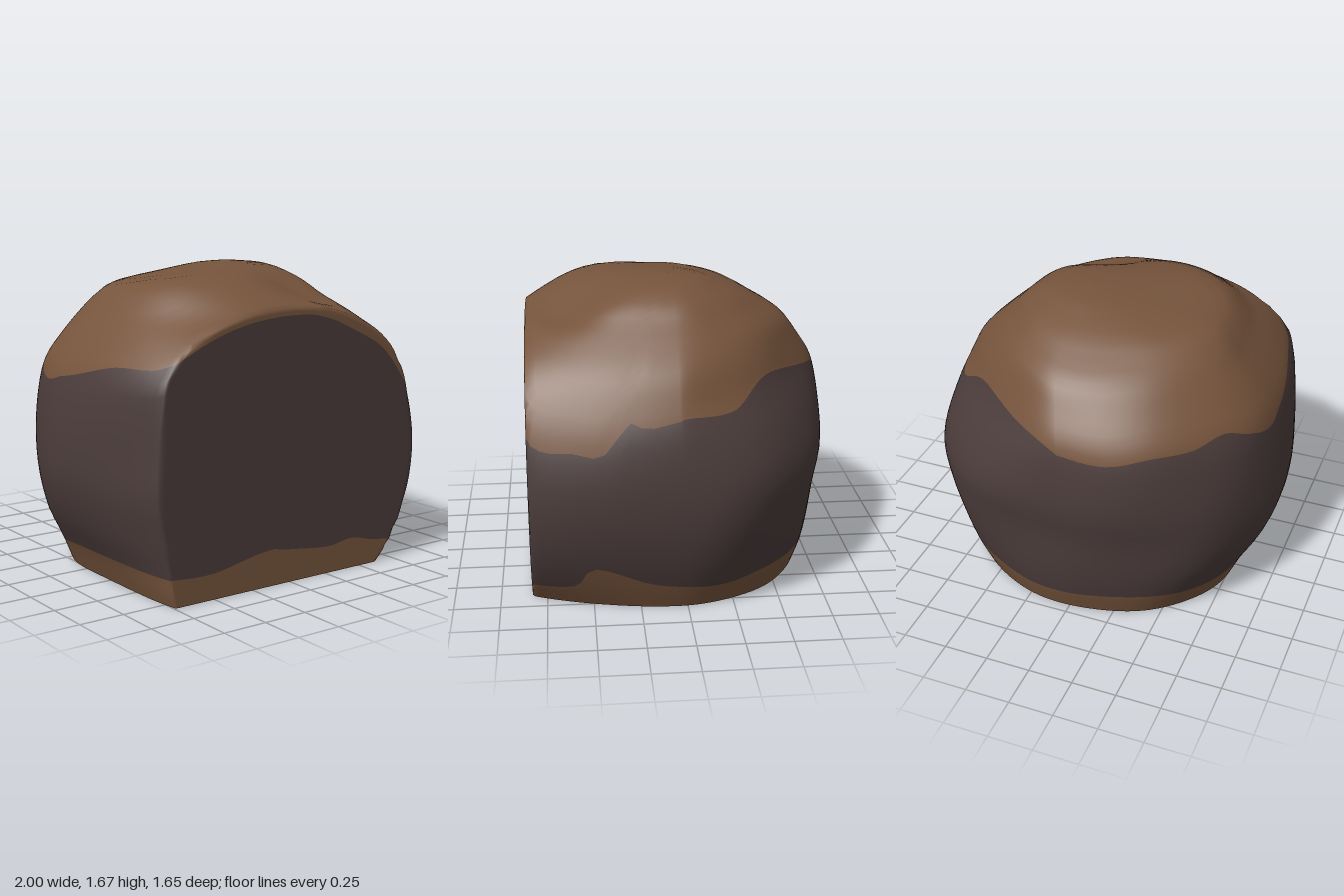
import * as THREE from 'three';

const FRONT = 0.83, CZ = 0.05, TOP = 1.67, APEX_X = 0.14;
const SEGMENTS = 160;

// Cross-sections by height: y, -x reach, +x reach, back reach, front depth before the flat cut,
// then the roundness exponents of three quarters (-x front, +x front, +x back)
const LEVELS = [
  [0, 0.775, 0.81, 0.69, 1.24, 3.7, 2, 2.1], [0.15, 0.84, 0.88, 0.74, 1.4, 2.6, 2.1, 2.1],
  [0.32, 0.93, 0.95, 0.77, 1.48, 2.05, 2.15, 2.1], [0.54, 0.99, 1, 0.79, 1.5, 1.95, 2.15, 2.2],
  [0.76, 0.99, 1, 0.825, 1.5, 1.95, 2.15, 2.2], [1, 0.96, 0.95, 0.81, 1.46, 2.1, 2.15, 1.85],
  [1.16, 0.915, 0.88, 0.77, 1.38, 2.3, 2.1, 1.58], [1.3, 0.82, 0.8, 0.68, 1.16, 2.4, 2, 1.62],
  [1.43, 0.71, 0.67, 0.58, 0.86, 2.4, 2, 1.75], [1.5, 0.65, 0.59, 0.47, 0.74, 2.3, 2, 1.8],
  [1.57, 0.54, 0.52, 0.35, 0.59, 2.2, 2, 1.9], [1.62, 0.25, 0.44, 0.22, 0.42, 2.1, 2, 2],
  [1.655, 0.02, 0.34, 0.11, 0.22, 2, 2, 2], [TOP, -APEX_X, APEX_X, -CZ, 0, 2, 2, 2],
];

// Colour borders: angle in degrees (0 = front, 90 = +x side), height
const UPPER = [
  [-180, 1.1], [-165, 1.08], [-150, 1.12], [-135, 1.13], [-122, 1.17], [-112, 1.12], [-100, 1.07],
  [-90, 1.1], [-75, 1.19], [-63, 1.2], [-57, 1.23], [-36, 1.35], [-20, 1.41], [0, 1.43],
  [18, 1.39], [30, 1.33], [45, 1.23], [52, 1.13], [58, 1], [63, 0.93], [70, 0.93], [76, 0.92],
  [81, 1.08], [84, 1.05], [92, 1.09], [114, 1.1], [128, 1.2], [136, 1.22], [155, 1.18],
  [168, 1.15], [180, 1.1],
];
const LOWER = [
  [-180, 0.13], [-150, 0.15], [-120, 0.12], [-90, 0.16], [-63, 0.15], [-30, 0.14], [-6, 0.2],
  [0, 0.18], [17, 0.15], [28, 0.17], [45, 0.13], [68, 0.14], [73, 0.27], [77, 0.26], [85, 0.17],
  [95, 0.14], [110, 0.13], [125, 0.16], [145, 0.17], [165, 0.13], [180, 0.13],
];

// Smooth interpolation of one column of a table keyed by its first column
function sample(table, t, col) {
  let i = 0;
  while (i < table.length - 2 && t > table[i + 1][0]) i++;
  const slope = (k) => {
    const a = table[Math.max(k - 1, 0)], b = table[Math.min(k + 1, table.length - 1)];
    return (b[col] - a[col]) / (b[0] - a[0]);
  };
  const p = table[i], q = table[i + 1], h = q[0] - p[0];
  const s = Math.min(Math.max((t - p[0]) / h, 0), 1), s2 = s * s, s3 = s2 * s;
  return (2 * s3 - 3 * s2 + 1) * p[col] + (s3 - 2 * s2 + s) * h * slope(i)
    + (3 * s2 - 2 * s3) * q[col] + (s3 - s2) * h * slope(i + 1);
}

const mound = (x, z, cx, cz, width) => Math.exp(-((x - cx) ** 2 + (z - cz) ** 2) / width ** 2);

// Point of the boulder at an angle and height
function surfacePoint(angle, y) {
  const s = Math.sin(angle), c = Math.cos(angle);
  const cx = APEX_X * THREE.MathUtils.smoothstep(y, 1, TOP);
  const rx = s < 0 ? sample(LEVELS, y, 1) + cx : sample(LEVELS, y, 2) - cx;
  const rz = c < 0 ? sample(LEVELS, y, 3) + CZ : sample(LEVELS, y, 4);
  let round = 2;
  if (c > 0) round = sample(LEVELS, y, s < 0 ? 5 : 6);
  else if (s > 0) round = sample(LEVELS, y, 7);
  const lump = 1 + 0.005 * Math.sin(5 * angle + 3 * y) + 0.004 * Math.sin(9 * angle - 5 * y);
  const x = cx + Math.sign(s) * Math.abs(s) ** (2 / round) * rx * lump;
  const z = Math.min(CZ + Math.sign(c) * Math.abs(c) ** (2 / round) * rz * lump, FRONT);
  // Crown: a hollow above the front edge and a swelling beside it
  const crown = THREE.MathUtils.smoothstep(y, 1.4, 1.55);
  const relief = 0.035 * mound(x, z, -0.4, 0.5, 0.35) - 0.075 * mound(x, z, 0.28, 0.6, 0.22);
  return [Math.max(-1, Math.min(1, x)), y + relief * crown, z];
}

export function createModel() {
  const brown = new THREE.MeshStandardMaterial({ color: 0x76543c });
  brown.name = 'earthBrown';
  const stone = new THREE.MeshStandardMaterial({ color: 0x4b3c3b });
  stone.name = 'darkStone';

  // Bands from the ground up: brown foot, stone middle, brown crown
  const bands = [
    { rows: 4, material: 0, height: (u, lo) => lo * u },
    { rows: 16, material: 1, height: (u, lo, hi) => lo + (hi - lo) * u },
    { rows: 20, material: 0, height: (u, lo, hi) => hi + (TOP - hi) * Math.sin(u * Math.PI / 2) },
  ];
  const positions = [], indices = [], geometry = new THREE.BufferGeometry();
  let row = 0;
  for (const [k, band] of bands.entries()) {
    const start = indices.length;
    for (let i = k === 0 ? 0 : 1; i <= band.rows; i++) {
      for (let j = 0; j < SEGMENTS; j++) {
        const degrees = (j / SEGMENTS) * 360 - 180;
        const lo = sample(LOWER, degrees, 1), hi = sample(UPPER, degrees, 1);
        const y = band.height(i / band.rows, lo, hi);
        positions.push(...surfacePoint(THREE.MathUtils.degToRad(degrees), y));
        if (row > 0) {
          const next = (j + 1) % SEGMENTS;
          const a = (row - 1) * SEGMENTS + j, b = (row - 1) * SEGMENTS + next;
          const c = row * SEGMENTS + j, d = row * SEGMENTS + next;
          indices.push(a, b, d, a, d, c);
        }
      }
      row++;
    }
    geometry.addGroup(start, indices.length - start, band.material);
  }
  geometry.setAttribute('position', new THREE.Float32BufferAttribute(positions, 3));
  geometry.setIndex(indices);
  geometry.computeVertexNormals();
  const boulder = new THREE.Mesh(geometry, [brown, stone]);
  boulder.name = 'boulder';

  // Flat underside
  const capPoints = [0, 0, 0, ...positions.slice(0, SEGMENTS * 3)];
  const capFaces = [];
  for (let j = 0; j < SEGMENTS; j++) capFaces.push(0, 1 + ((j + 1) % SEGMENTS), 1 + j);
  const cap = new THREE.BufferGeometry();
  cap.setAttribute('position', new THREE.Float32BufferAttribute(capPoints, 3));
  cap.setIndex(capFaces);
  cap.computeVertexNormals();
  const underside = new THREE.Mesh(cap, brown);
  underside.name = 'underside';

  const group = new THREE.Group();
  group.name = 'rock';
  group.add(boulder, underside);
  return group;
}
